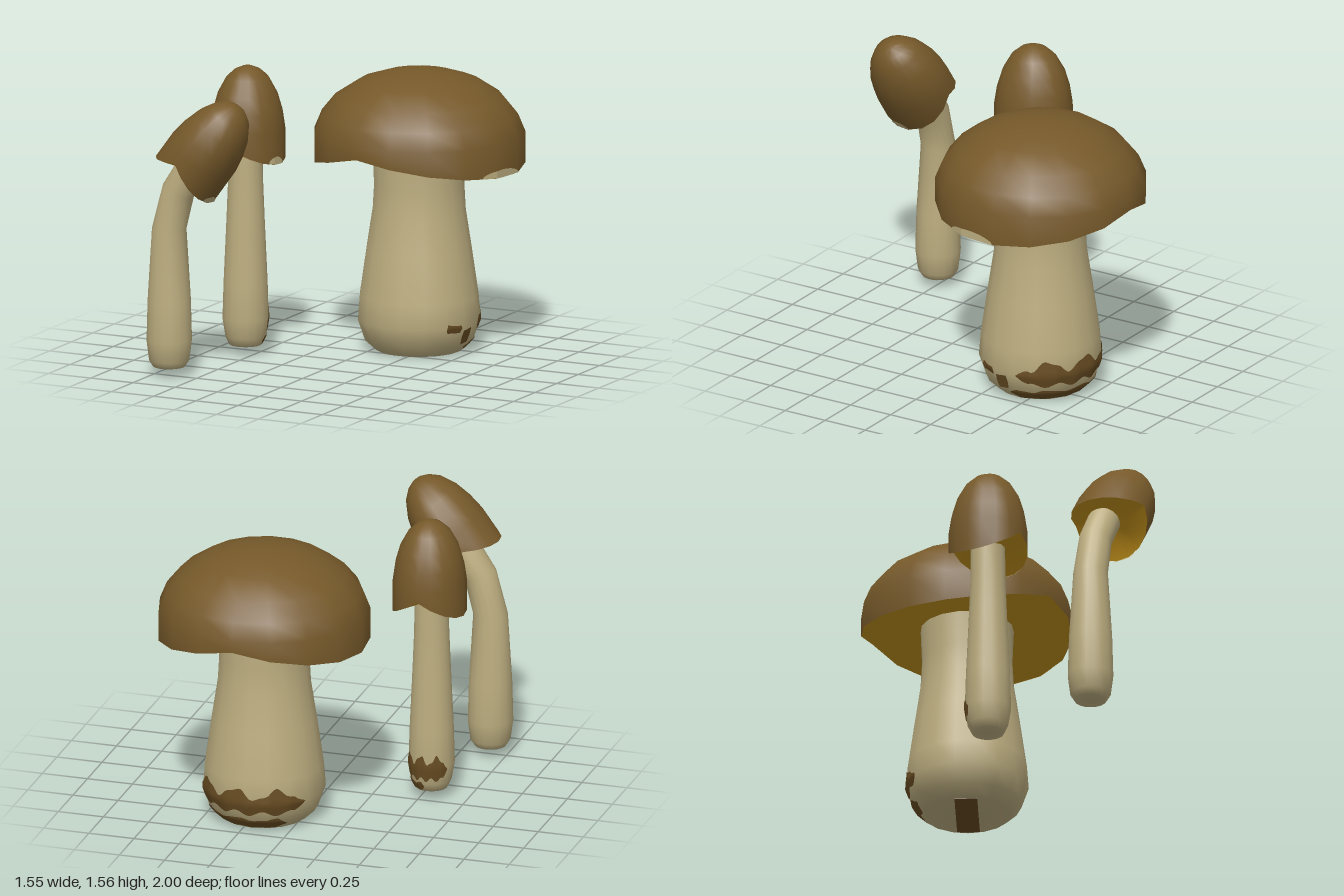
import * as THREE from 'three';
import { toCreasedNormals } from 'three/addons/utils/BufferGeometryUtils.js';

const SIDES = 17;
const STEP = (Math.PI * 2) / SIDES;

function mat(name, color, side = THREE.FrontSide) {
  const m = new THREE.MeshStandardMaterial({ color, side });
  m.name = name;
  return m;
}

// Cap outline: radius fraction, height above the lowest rim point
const CAP = [[1, 0], [1, 0.18], [0.93, 0.275], [0.8, 0.365], [0.57, 0.45], [0.34, 0.492], [0.13, 0.51], [0, 0.512]];
const UNDER = [[0, 0.085], [0.45, 0.08], [1, 0]];

// Rim is low at the sides and peaks at the back and, slightly off centre, at the front
function rimRise(phi) {
  const s = Math.sin(phi), peak = Math.cos(phi) > 0 ? -0.18 : 0;
  return 0.12 * (1 - (s > peak ? (s - peak) / (1 - peak) : (peak - s) / (1 + peak)));
}

// Radius factor that keeps a point on the flat facets of a many-sided ring
function facet(phi) {
  const a = (((phi - Math.PI) % STEP) + STEP) % STEP;
  return Math.cos(STEP / 2) / Math.cos(a - STEP / 2);
}

function lathe(points, crease, rule) {
  const pts = points.map(([r, y]) => new THREE.Vector2(r, y));
  const geo = new THREE.LatheGeometry(pts, SIDES, Math.PI);
  const p = geo.attributes.position;
  for (let k = 0; k < p.count; k++) {
    const v = new THREE.Vector3().fromBufferAttribute(p, k);
    rule(v, k % pts.length, Math.PI + Math.floor(k / pts.length) * STEP);
    p.setXYZ(k, v.x, v.y, v.z);
  }
  return toCreasedNormals(geo, crease);
}

// Thin skin over an angular range; at(phi, t, u) gives a point from low edge to high edge
function skin(phi0, phi1, at) {
  const geo = new THREE.PlaneGeometry(1, 1, 48, 6);
  const p = geo.attributes.position;
  for (let k = 0; k < p.count; k++) {
    const u = p.getX(k) + 0.5, t = p.getY(k) + 0.5;
    const phi = phi0 + (phi1 - phi0) * u;
    const [r, y] = at(phi, t, u);
    p.setXYZ(k, r * Math.sin(phi), y, r * Math.cos(phi));
  }
  geo.computeVertexNormals();
  return geo;
}

function radiusAt(rings, y) {
  for (let i = 1; i < rings.length; i++) {
    const [r0, y0] = rings[i - 1], [r1, y1] = rings[i];
    if (y1 > y0 && y <= y1) return r0 + ((r1 - r0) * Math.max(0, y - y0)) / (y1 - y0);
  }
  return rings[rings.length - 1][0];
}

export function createModel() {
  const capBrown = mat('capBrown', 0x76592a);
  const gillGold = mat('gillGold', 0xc4921b);
  const stemCream = mat('stemCream', 0xbdae80);
  const soilBrown = mat('soilBrown', 0x684c22, THREE.DoubleSide);
  const palePatch = mat('palePatch', 0xbdae80, THREE.DoubleSide);

  const model = new THREE.Group();
  model.name = 'mushrooms';

  function add(parent, name, geo, material) {
    const m = new THREE.Mesh(geo, material);
    m.name = name;
    parent.add(m);
    return m;
  }

  function makeCap(rx, rz) {
    const cap = new THREE.Group();
    cap.name = 'cap';
    const shape = (rimIndex) => (v, j, phi) => {
      v.x *= rx;
      v.z *= rz;
      if (j === rimIndex) v.y += rimRise(phi);
    };
    add(cap, 'capTop', lathe(CAP, 0.9, shape(0)), capBrown);
    add(cap, 'capUnderside', lathe(UNDER, 0.9, shape(UNDER.length - 1)), gillGold);
    // Pale nick on the rim
    const nick = skin(1.12, 1.66, (phi, t, u) => {
      const low = rimRise(phi) + 0.002;
      return [facet(phi) + 0.004 / rx, low + 0.042 * t * Math.sqrt(Math.max(0, Math.sin(Math.PI * u)))];
    });
    nick.scale(rx, 1, rz);
    add(cap, 'rimPatch', nick, palePatch);
    return cap;
  }

  // Rings: radius, height, sideways shift, lean
  function makeStem(rings) {
    const geo = lathe(rings, 1.5, (v, j) => {
      const [, y, shift = 0, lean = 0] = rings[j];
      const x = v.x;
      v.x = shift + x * Math.cos(lean);
      v.y = y - x * Math.sin(lean);
    });
    const stem = new THREE.Group();
    stem.name = 'stem';
    add(stem, 'stemBody', geo, stemCream);
    return stem;
  }

  // Ragged soil stain: angles in degrees, low and high edges
  function addSoil(stem, rings, deg0, deg1, low, high, wobble) {
    const rad = Math.PI / 180;
    const geo = skin(deg0 * rad, deg1 * rad, (phi, t, u) => {
      const taper = Math.min(1, Math.sin(Math.PI * u) * 4);
      const mid = (low + high) / 2, half = ((high - low) / 2) * taper;
      const top = mid + half + wobble * taper * (Math.sin(phi * 9) + 0.3 * Math.sin(phi * 21));
      const bottom = mid - half + wobble * 0.5 * taper * Math.sin(phi * 13 + 1);
      const y = bottom + (top - bottom) * t;
      return [radiusAt(rings, y) * facet(phi) + 0.004, y];
    });
    add(stem, 'soilPatch', geo, soilBrown);
  }

  function mushroom(name, x, z, stem, cap, capPos, lean = 0) {
    const g = new THREE.Group();
    g.name = name;
    stem.position.set(x, 0, z);
    cap.position.set(...capPos);
    cap.rotation.z = -lean;
    g.add(stem, cap);
    model.add(g);
  }

  // Large mushroom
  const bigRings = [[0, 0.008], [0.232, 0.008], [0.288, 0.06], [0.326, 0.17], [0.316, 0.3], [0.28, 0.55],
    [0.248, 0.76], [0.24, 0.9], [0.248, 1.1]];
  const bigStem = makeStem(bigRings);
  addSoil(bigStem, bigRings, 54, 72, 0.14, 0.185, 0.005);
  addSoil(bigStem, bigRings, 74, 88, 0.07, 0.15, 0.006);
  addSoil(bigStem, bigRings, 98, 240, 0.115, 0.225, 0.028);
  addSoil(bigStem, bigRings, 86, 225, 0.015, 0.075, 0.007);
  // Soil stripe under the foot
  const stripe = add(bigStem, 'soilStripe', new THREE.BoxGeometry(0.42, 0.006, 0.12), soilBrown);
  stripe.position.y = 0.006;
  stripe.rotation.y = 0.45;
  mushroom('largeMushroom', 0.21, -0.437, bigStem, makeCap(0.562, 0.56), [0.21, 1.0, -0.44]);

  // Small upright mushroom
  const smallRings = [[0, 0.055], [0.085, 0.055], [0.107, 0.1], [0.123, 0.2], [0.117, 0.4], [0.101, 0.75],
    [0.093, 0.95], [0.091, 1.15]];
  const smallStem = makeStem(smallRings);
  addSoil(smallStem, smallRings, 98, 240, 0.13, 0.24, 0.024);
  addSoil(smallStem, smallRings, 88, 175, 0.062, 0.11, 0.006);
  mushroom('smallMushroom', -0.55, 0.087, smallStem, makeCap(0.196, 0.214), [-0.54, 1.048, 0.083]);

  // Leaning mushroom with a bent stem
  const bentRings = [[0, 0.055], [0.085, 0.055], [0.107, 0.09], [0.121, 0.2], [0.115, 0.42], [0.092, 0.8],
    [0.088, 1.01, 0.055, 0.38], [0.088, 1.17, 0.16, 0.64]];
  mushroom('leaningMushroom', -0.66, 0.757, makeStem(bentRings), makeCap(0.194, 0.213),
    [-0.547, 1.088, 0.786], 0.638);

  return model;
}
